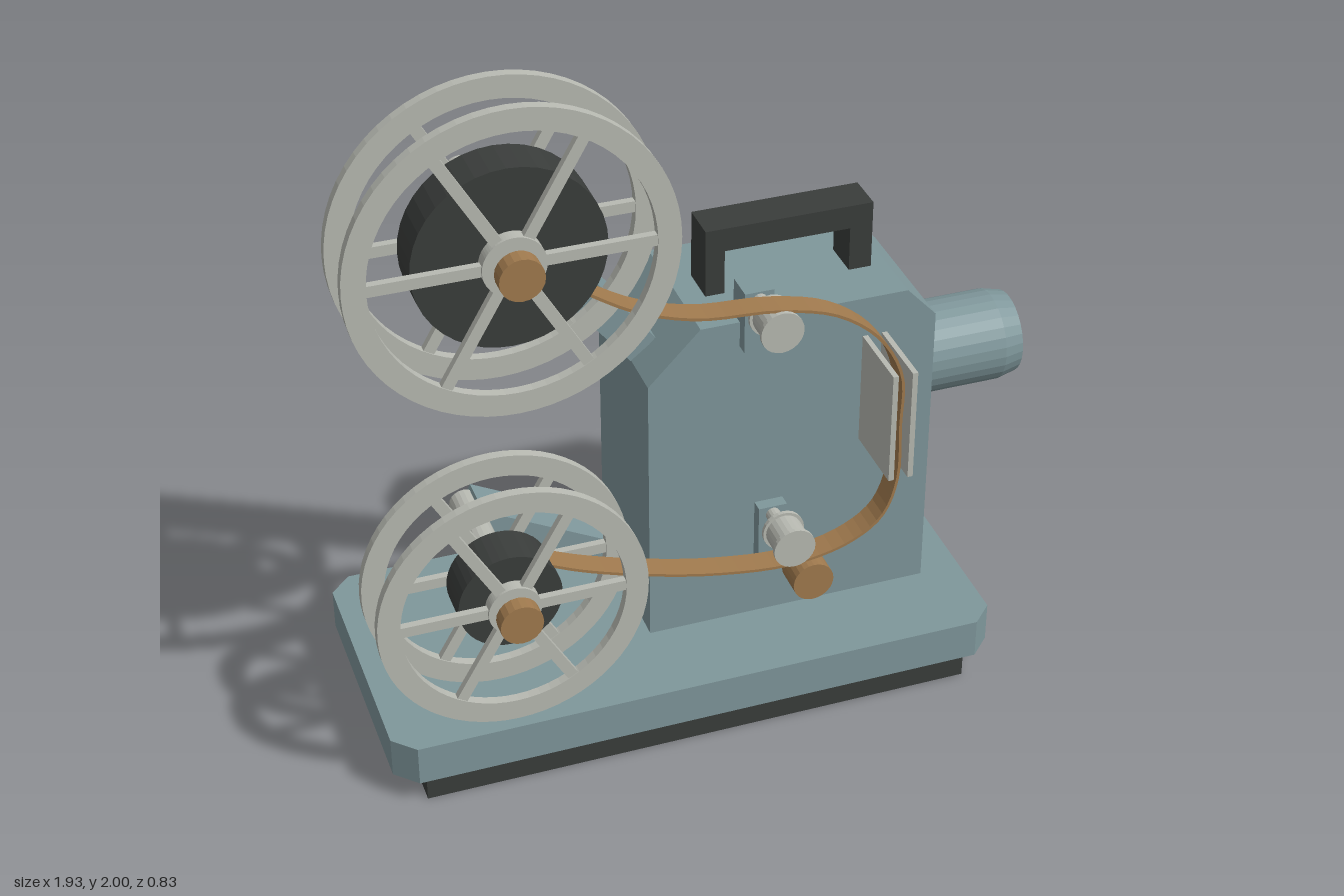
import * as THREE from 'three';

const mat = (color, flat = true) => new THREE.MeshStandardMaterial({ color, flatShading: flat });
const BLUE = mat(0x7f979b), DARK = mat(0x3a3d3b), METAL = mat(0xb8bab2), BRASS = mat(0xa07a4e);

function add(parent, name, geometry, material, x = 0, y = 0, z = 0) {
  const mesh = new THREE.Mesh(geometry, material);
  mesh.name = name;
  mesh.position.set(x, y, z);
  parent.add(mesh);
  return mesh;
}

// Box given by its minimum and maximum on each axis
function block(parent, name, material, x0, x1, y0, y1, z0, z1) {
  return add(parent, name, new THREE.BoxGeometry(x1 - x0, y1 - y0, z1 - z0), material,
    (x0 + x1) / 2, (y0 + y1) / 2, (z0 + z1) / 2);
}

// Cylinder along z between z0 and z1
function rod(parent, name, material, x, y, r, z0, z1, sides = 24) {
  const g = new THREE.CylinderGeometry(r, r, z1 - z0, sides).rotateX(Math.PI / 2);
  return add(parent, name, g, material, x, y, (z0 + z1) / 2);
}

const outline = (pts) => new THREE.Shape(pts.map(([x, y]) => new THREE.Vector2(x, y)));
const extrude = (shape, depth, curveSegments = 12) =>
  new THREE.ExtrudeGeometry(shape, { depth, bevelEnabled: false, curveSegments });

function ring(outer, inner, depth) {
  const s = new THREE.Shape().absarc(0, 0, outer, 0, Math.PI * 2);
  s.holes.push(new THREE.Path().absarc(0, 0, inner, 0, Math.PI * 2, true));
  return extrude(s, depth, 32).translate(0, 0, -depth / 2);
}

// Bar of the given width between two points, from z0 to z1
function arm(parent, name, [ax, ay], [bx, by], width, z0, z1) {
  const g = new THREE.BoxGeometry(Math.hypot(bx - ax, by - ay), width, z1 - z0);
  const m = add(parent, name, g, BLUE, (ax + bx) / 2, (ay + by) / 2, (z0 + z1) / 2);
  m.rotation.z = Math.atan2(by - ay, bx - ax);
}

// Two spoked flanges, wound film, shaft and retaining knob
function reel(parent, name, x, y, radius, filmRadius, hubRadius) {
  const g = new THREE.Group();
  g.name = name;
  g.position.set(x, y, 0);
  parent.add(g);
  const inner = radius - 0.06;
  for (const z of [0.168, 0.336]) {
    add(g, 'flangeRim', ring(radius, inner, 0.026), METAL, 0, 0, z);
    add(g, 'flangeHub', ring(hubRadius, 0.035, 0.034), METAL, 0, 0, z);
    for (let i = 0; i < 6; i++) {
      const a = i * Math.PI / 3, r0 = hubRadius - 0.01, r1 = inner + 0.01;
      const spoke = add(g, 'spoke', new THREE.BoxGeometry(r1 - r0, 0.03, 0.02), METAL,
        Math.cos(a) * (r0 + r1) / 2, Math.sin(a) * (r0 + r1) / 2, z);
      spoke.rotation.z = a;
    }
  }
  rod(g, 'woundFilm', DARK, 0, 0, filmRadius, 0.195, 0.312, 40);
  rod(g, 'shaft', METAL, 0, 0, 0.04, -0.14, 0.38, 20);
  rod(g, 'reelKnob', BRASS, 0, 0, 0.057, 0.373, 0.416, 20);
}

// Bracket on the body with a flanged film roller
function roller(parent, name, x, y, bracketLow, bracketHigh) {
  const g = new THREE.Group();
  g.name = name;
  parent.add(g);
  block(g, 'rollerBracket', BLUE, x - 0.04, x + 0.04, bracketLow, bracketHigh, 0.055, 0.138);
  rod(g, 'rollerAxle', METAL, x, y, 0.02, 0.12, 0.22, 16);
  rod(g, 'rollerCore', METAL, x, y, 0.05, 0.21, 0.3);
  rod(g, 'rollerFlange', METAL, x, y, 0.058, 0.208, 0.219);
  rod(g, 'rollerFlange', METAL, x, y, 0.058, 0.291, 0.302);
}

export function createModel() {
  const model = new THREE.Group();
  model.name = 'filmProjector';

  // Base plate with cut corners, on two long feet
  const [x0, x1, z0, z1, c] = [-0.92, 0.775, -0.355, 0.415, 0.058];
  const plate = outline([[x0 + c, z0], [x1 - c, z0], [x1, z0 + c], [x1, z1 - c],
    [x1 - c, z1], [x0 + c, z1], [x0, z1 - c], [x0, z0 + c]]);
  add(model, 'basePlate', extrude(plate, 0.115).rotateX(-Math.PI / 2), BLUE, 0, 0.075, 0);
  block(model, 'footRail', DARK, -0.84, 0.69, 0, 0.075, 0.24, 0.337);
  block(model, 'footRail', DARK, -0.84, 0.69, 0, 0.075, -0.4, -0.3);

  // Housing with sloped top corners
  const housing = outline([[-0.143, 0.19], [0.658, 0.19], [0.658, 1.053], [0.575, 1.143],
    [0, 1.143], [-0.143, 0.995]]);
  add(model, 'housing', extrude(housing, 0.415), BLUE, 0, 0, -0.312);

  // Carrying handle
  const handle = outline([[0.065, 1.14], [0.118, 1.14], [0.118, 1.27], [0.467, 1.27],
    [0.467, 1.14], [0.53, 1.14], [0.53, 1.337], [0.065, 1.337]]);
  add(model, 'handle', extrude(handle, 0.11), DARK, 0, 0, -0.153);

  // Lens barrel, hollow at the front, with a dark glass
  const barrel = [[0, 0], [0.127, 0], [0.127, 0.26], [0.114, 0.315], [0.086, 0.315], [0.086, 0.265]]
    .map(([r, h]) => new THREE.Vector2(r, h));
  add(model, 'lensBarrel', new THREE.LatheGeometry(barrel, 28).rotateZ(-Math.PI / 2), BLUE, 0.65, 0.82, -0.09);
  add(model, 'lensGlass', new THREE.CylinderGeometry(0.087, 0.087, 0.02, 28).rotateZ(-Math.PI / 2),
    DARK, 0.91, 0.82, -0.09);

  // Reels on their arms
  arm(model, 'upperArm', [-0.55, 1.585], [-0.113, 1.03], 0.09, -0.153, -0.022);
  arm(model, 'lowerArm', [-0.585, 0.573], [-0.1, 0.318], 0.1, -0.153, -0.022);
  reel(model, 'upperReel', -0.55, 1.585, 0.415, 0.243, 0.08);
  reel(model, 'lowerReel', -0.585, 0.573, 0.358, 0.138, 0.07);

  // Film path: rollers, gate plates and focus knob
  roller(model, 'upperRoller', 0.147, 1.222, 1.07, 1.247);
  roller(model, 'lowerRoller', 0.195, 0.536, 0.38, 0.56);
  block(model, 'gatePlate', METAL, 0.451, 0.466, 0.7, 1.027, 0.1, 0.31);
  block(model, 'gatePlate', METAL, 0.505, 0.52, 0.7, 1.027, 0.1, 0.31);
  rod(model, 'focusKnob', BRASS, 0.297, 0.318, 0.058, 0.1, 0.192);

  // Film strip, a thin ribbon along a curve
  const path = new THREE.CatmullRomCurve3([[-0.38, 1.45], [-0.23, 1.355], [-0.07, 1.3],
    [0.14, 1.28], [0.3, 1.233], [0.42, 1.137], [0.485, 1.01], [0.487, 0.86], [0.485, 0.68],
    [0.444, 0.571], [0.354, 0.508], [0.196, 0.476], [-0.016, 0.497], [-0.23, 0.55],
    [-0.386, 0.603], [-0.49, 0.65]].map(([x, y]) => new THREE.Vector3(x, y, 0)));
  const sideA = [], sideB = [];
  for (let i = 0; i <= 64; i++) {
    const p = path.getPoint(i / 64), t = path.getTangent(i / 64), h = 0.004;
    sideA.push([p.x - t.y * h, p.y + t.x * h]);
    sideB.unshift([p.x + t.y * h, p.y - t.x * h]);
  }
  add(model, 'filmStrip', extrude(outline([...sideA, ...sideB]), 0.07), BRASS, 0, 0, 0.22);

  return model;
}
